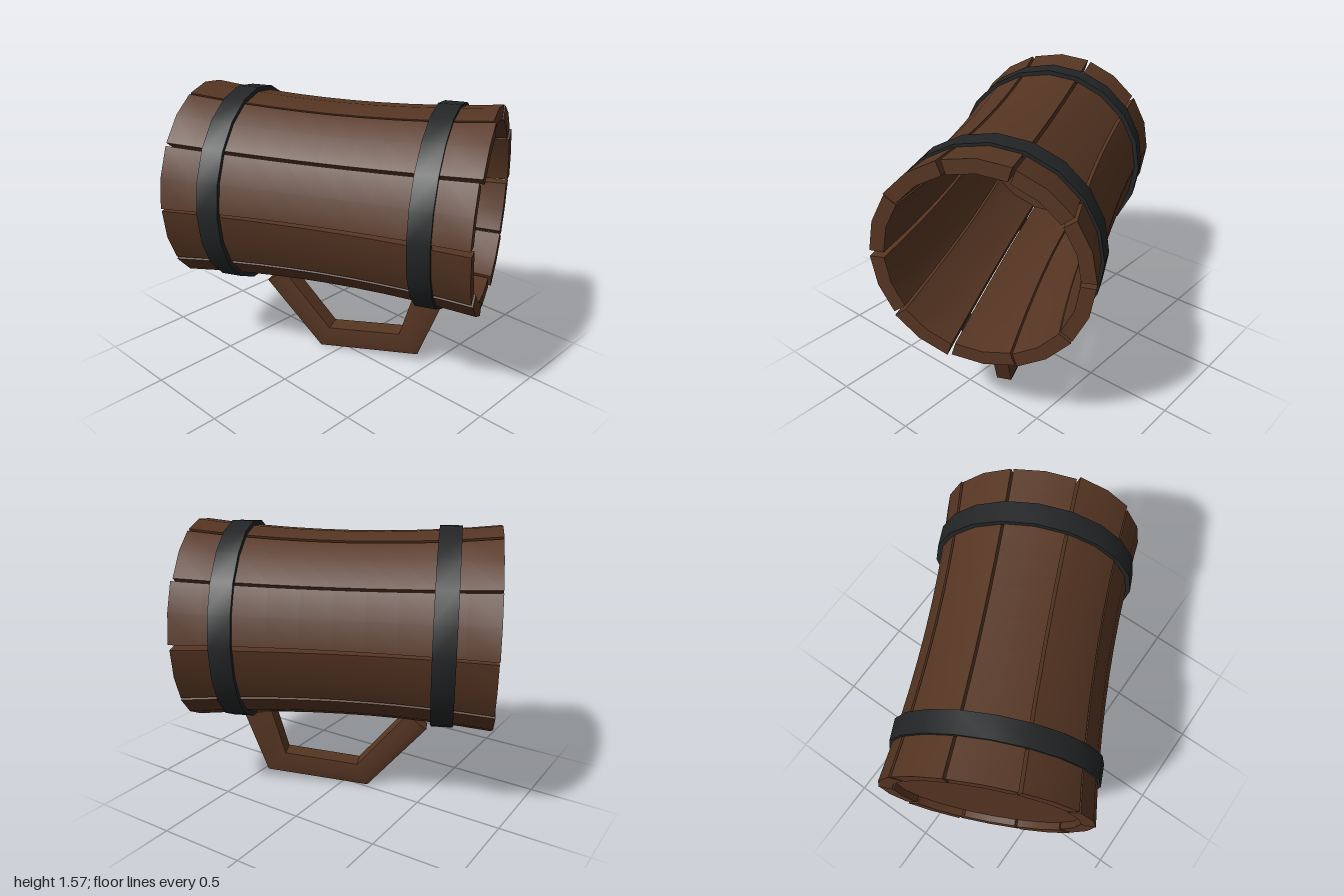
import * as THREE from 'three';
import { toCreasedNormals } from 'three/addons/utils/BufferGeometryUtils.js';

const AXIS_Y = 1.005, STAVES = 10, STEP = (Math.PI * 2) / STAVES;

// Skin a run of six-point sections, with both ends closed
function sweep(rings) {
  const pos = rings.flat(2), index = [];
  const quad = (a, b, c, d) => index.push(a, b, c, a, c, d);
  for (let j = 0; j < rings.length - 1; j++) {
    for (let i = 0; i < 6; i++) {
      const k = (i + 1) % 6, o = j * 6;
      quad(o + i, o + k, o + 6 + k, o + 6 + i);
    }
  }
  const e = (rings.length - 1) * 6;
  quad(5, 4, 1, 0);
  quad(4, 3, 2, 1);
  quad(e, e + 1, e + 4, e + 5);
  quad(e + 1, e + 2, e + 3, e + 4);
  const g = new THREE.BufferGeometry();
  g.setAttribute('position', new THREE.Float32BufferAttribute(pos, 3));
  g.setIndex(index);
  return toCreasedNormals(g, 0.5);
}

// Ring or disc turned around the mug's long axis
function turned(points, z) {
  const g = new THREE.LatheGeometry(points.map(p => new THREE.Vector2(...p)), 20);
  g.rotateX(Math.PI / 2);
  g.translate(0, 0, z);
  return toCreasedNormals(g, 0.5);
}

// Waisted profile of the mug wall
const wallRadius = z => 0.518 + 0.047 * (z / 0.83) ** 2;

function staveGeometry(i) {
  const front = 0.823 + 0.009 * Math.sin(i * 2.3 + 1);
  const back = -0.843 + 0.007 * Math.sin(i * 3.1);
  const shift = 0.003 * Math.sin(i * 4.7);
  const gap = (boundary, s) => 0.012 + (boundary % 5 === 0 ? 0.014 * s : 0.003);
  const rings = [];
  for (let j = 0; j <= 10; j++) {
    const s = j / 10, z = back + (front - back) * s;
    const ro = wallRadius(z) + shift, ri = ro - 0.075;
    const a0 = i * STEP + gap(i, s), a2 = (i + 1) * STEP - gap(i + 1, s);
    const a1 = (a0 + a2) / 2;
    rings.push([[ro, a0], [ro, a1], [ro, a2], [ri, a2], [ri, a1], [ri, a0]]
      .map(([r, a]) => [r * Math.cos(a), r * Math.sin(a), z]));
  }
  return sweep(rings);
}

// Angular handle: inner and outer outline as [z, y], with bevelled outer edges
function handleGeometry() {
  const inner = [[-0.374, 0.48], [-0.083, 0.137], [0.352, 0.182], [0.43, 0.457]];
  const outer = [[-0.485, 0.39], [-0.143, 0], [0.463, 0.06], [0.595, 0.42]];
  const section = [[-0.055, 0], [-0.06, 0.6], [-0.042, 1], [0.042, 1], [0.06, 0.6], [0.055, 0]];
  return sweep(inner.map(([z, y], i) => section.map(([x, f]) => [
    x,
    y + (outer[i][1] - y) * f - AXIS_Y,
    z + (outer[i][0] - z) * f,
  ])));
}

export function createModel() {
  const wood = new THREE.MeshStandardMaterial({ color: 0x573623 });
  wood.name = 'brown wood';
  const iron = new THREE.MeshStandardMaterial({ color: 0x232526 });
  iron.name = 'dark iron';

  const model = new THREE.Group();
  model.name = 'woodenMug';
  // Mug lies on its side, long axis along local z, mouth at +z
  const mug = new THREE.Group();
  mug.name = 'mugBody';
  mug.position.y = AXIS_Y;
  mug.rotation.y = THREE.MathUtils.degToRad(24.7);
  model.add(mug);

  const add = (name, geometry, material) => {
    const mesh = new THREE.Mesh(geometry, material);
    mesh.name = name;
    mug.add(mesh);
  };

  for (let i = 0; i < STAVES; i++) add(`stave${i + 1}`, staveGeometry(i), wood);

  // Recessed base board
  add('baseBoard', turned([[0, -0.03], [0.489, -0.03], [0.489, 0.03], [0, 0.03]], -0.775), wood);

  // Hoops
  const hoop = [[0.528, -0.06], [0.561, -0.06], [0.561, 0.06], [0.528, 0.06], [0.528, -0.06]];
  add('frontHoop', turned(hoop, 0.563), iron);
  add('backHoop', turned(hoop, -0.573), iron);

  add('handle', handleGeometry(), wood);
  return model;
}
